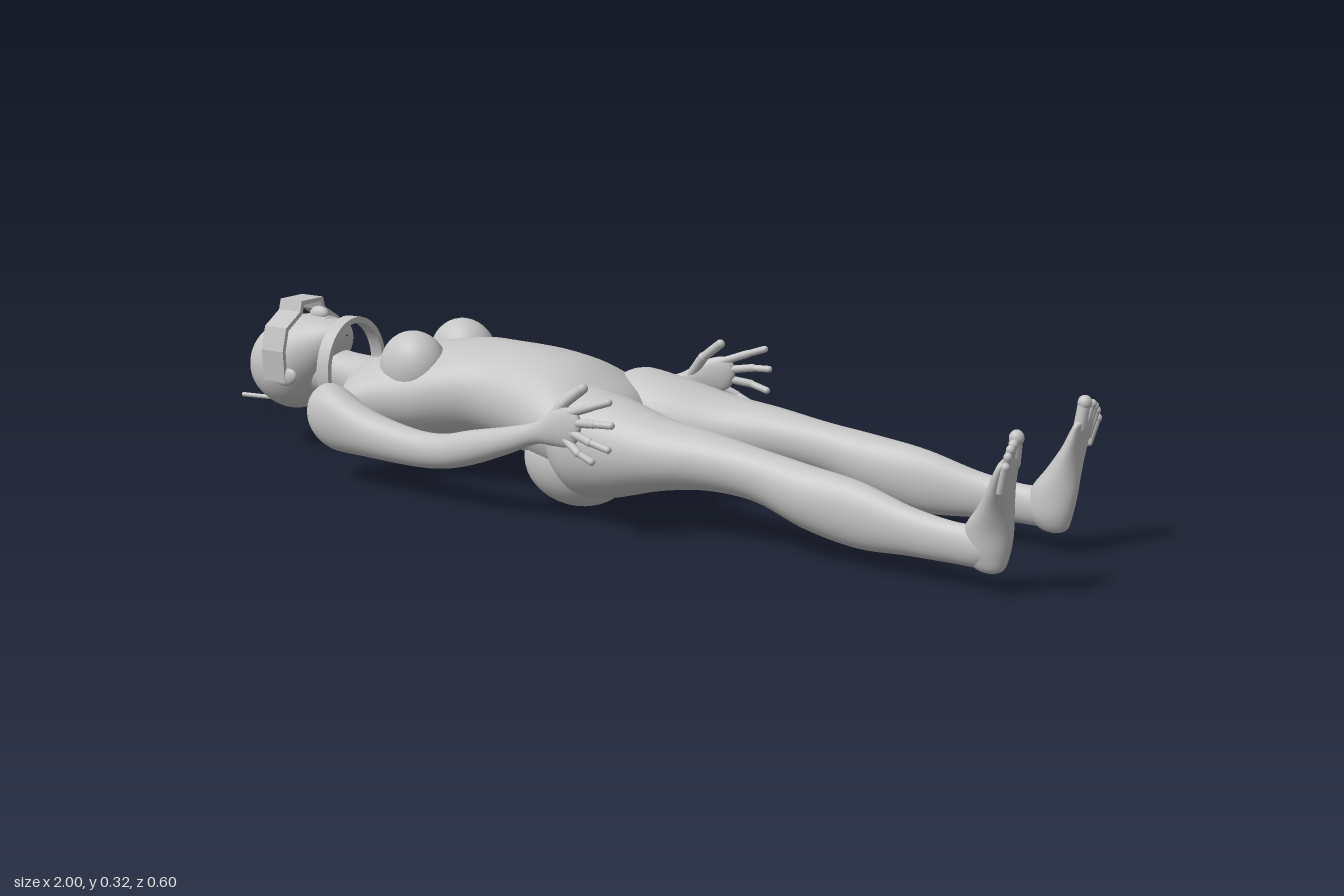
import * as THREE from 'three';

const clay = new THREE.MeshStandardMaterial({ color: 0xc4c4c4 });
clay.name = 'light grey';

// Smooth skin over elliptical sections [x, y, z, r1, r2], ordered along the axis.
// Axis 'x': r1 is along y, r2 along z. Axis 'y': r1 is along z, r2 along x.
function loft(sections, axis = 'x', side = 1, around = 36, steps = 6) {
  const pos = [], index = [];
  const n = sections.length, rows = (n - 1) * steps + 1;
  const at = (i) => sections[Math.min(Math.max(i, 0), n - 1)];
  for (let r = 0; r < rows; r++) {
    const i = Math.min(Math.floor(r / steps), n - 2), t = r / steps - i;
    const v = [0, 1, 2, 3, 4].map((k) => {
      const [a, b, c, d] = [at(i - 1)[k], at(i)[k], at(i + 1)[k], at(i + 2)[k]];
      return 0.5 * (2 * b + (c - a) * t + (2 * a - 5 * b + 4 * c - d) * t * t + (3 * b - a - 3 * c + d) * t ** 3);
    });
    const [x, y, z] = [v[0], v[1], v[2] * side];
    const r1 = Math.max(v[3], 0.001), r2 = Math.max(v[4], 0.001);
    for (let j = 0; j < around; j++) {
      const q = (j / around) * Math.PI * 2, c = Math.cos(q) * r1, s = Math.sin(q) * r2;
      if (axis === 'x') pos.push(x, y + c, z + s);
      else pos.push(x + s, y, z + c);
      if (r < rows - 1) {
        const a = r * around + j, b = r * around + ((j + 1) % around);
        index.push(a, b, a + around, b, b + around, a + around);
      }
    }
  }
  const g = new THREE.BufferGeometry();
  g.setAttribute('position', new THREE.Float32BufferAttribute(pos, 3));
  g.setIndex(index);
  g.computeVertexNormals();
  return g;
}

function add(parent, name, geometry) {
  const mesh = new THREE.Mesh(geometry, clay);
  mesh.name = name;
  parent.add(mesh);
  return mesh;
}

function ball(parent, name, p, r) {
  const mesh = add(parent, name, new THREE.SphereGeometry(1, 32, 20));
  mesh.position.set(...p);
  mesh.scale.set(...r);
  return mesh;
}

// Rounded rod between two points
function rod(parent, name, a, b, r) {
  const from = new THREE.Vector3(...a), to = new THREE.Vector3(...b);
  const dir = to.clone().sub(from);
  const mesh = add(parent, name, new THREE.CapsuleGeometry(r, dir.length(), 6, 12));
  mesh.position.copy(from).add(to).multiplyScalar(0.5);
  mesh.quaternion.setFromUnitVectors(new THREE.Vector3(0, 1, 0), dir.normalize());
}

// Flat outline in z and y, given thickness along x
function plate(parent, name, shape, x, depth) {
  const g = new THREE.ExtrudeGeometry(shape, { depth, bevelEnabled: false, curveSegments: 40 });
  g.rotateY(Math.PI / 2);
  add(parent, name, g).position.x = x;
}

function buildHead(model) {
  const head = new THREE.Group();
  head.name = 'head';
  model.add(head);
  add(head, 'skull', loft([
    [-0.792, 0.172, 0, 0.002, 0.002], [-0.783, 0.172, 0, 0.035, 0.033], [-0.755, 0.173, 0, 0.071, 0.066],
    [-0.70, 0.177, 0, 0.096, 0.088], [-0.65, 0.187, 0, 0.099, 0.087], [-0.61, 0.207, 0, 0.079, 0.07],
    [-0.57, 0.233, 0, 0.048, 0.046], [-0.553, 0.245, 0, 0.028, 0.028], [-0.546, 0.25, 0, 0.002, 0.002]]));
  ball(head, 'nose', [-0.618, 0.288, 0], [0.024, 0.017, 0.013]);
  ball(head, 'upperLip', [-0.592, 0.278, 0], [0.007, 0.009, 0.02]);
  ball(head, 'lowerLip', [-0.582, 0.276, 0], [0.007, 0.008, 0.017]);
  for (const s of [1, -1]) {
    ball(head, 'ear', [-0.64, 0.165, 0.085 * s], [0.028, 0.018, 0.008]).rotation.z = 0.3;
  }
  add(head, 'neck', loft([
    [-0.65, 0.17, 0, 0.05, 0.05], [-0.58, 0.168, 0, 0.052, 0.047], [-0.53, 0.165, 0, 0.05, 0.046],
    [-0.48, 0.158, 0, 0.054, 0.06], [-0.44, 0.15, 0, 0.06, 0.1]]));

  // Visor wrapped over the eyes
  const half = [[0.094, 0.155], [0.098, 0.22], [0.085, 0.268], [0.04, 0.296], [0.034, 0.318]];
  const inner = [[0.026, 0.309], [0.033, 0.29], [0.078, 0.262], [0.089, 0.22], [0.086, 0.155]];
  const mirror = (list) => list.map(([z, y]) => [-z, y]).reverse();
  const loop = [...half, ...mirror(half), ...mirror(inner), ...inner];
  plate(head, 'visor', new THREE.Shape(loop.map((p) => new THREE.Vector2(...p))), -0.695, 0.058);

  // Loose neck ring and its cable
  const ring = new THREE.Shape().absellipse(0, 0.185, 0.094, 0.106, 0, Math.PI * 2);
  ring.holes.push(new THREE.Path().absellipse(0, 0.185, 0.083, 0.094, 0, Math.PI * 2));
  plate(head, 'neckRing', ring, -0.55, 0.03);
  const path = new THREE.CatmullRomCurve3([
    [-0.54, 0.15, -0.09], [-0.555, 0.1, -0.115], [-0.575, 0.06, -0.155], [-0.62, 0.042, -0.188],
    [-0.70, 0.037, -0.205], [-0.80, 0.036, -0.202], [-1, 0.036, -0.17]].map((p) => new THREE.Vector3(...p)));
  add(head, 'cable', new THREE.TubeGeometry(path, 60, 0.005, 10));
}

function buildTorso(model) {
  const torso = new THREE.Group();
  torso.name = 'torso';
  model.add(torso);
  add(torso, 'trunk', loft([
    [-0.50, 0.155, 0, 0.04, 0.045], [-0.465, 0.15, 0, 0.06, 0.12], [-0.42, 0.15, 0, 0.082, 0.172],
    [-0.36, 0.16, 0, 0.097, 0.165], [-0.28, 0.168, 0, 0.102, 0.148], [-0.20, 0.183, 0, 0.1, 0.13],
    [-0.13, 0.185, 0, 0.099, 0.119], [-0.04, 0.175, 0, 0.105, 0.135], [0.04, 0.155, 0, 0.11, 0.158],
    [0.10, 0.14, 0, 0.098, 0.162], [0.15, 0.135, 0, 0.072, 0.125], [0.185, 0.14, 0, 0.02, 0.04]], 'x', 1, 48));
  for (const s of [1, -1]) {
    ball(torso, 'chest', [-0.305, 0.222, 0.082 * s], [0.075, 0.077, 0.058]);
    ball(torso, 'hip', [0.08, 0.088, 0.07 * s], [0.115, 0.088, 0.078]);
  }
}

function buildArm(model, s) {
  const arm = new THREE.Group();
  arm.name = s > 0 ? 'leftArm' : 'rightArm';
  model.add(arm);
  add(arm, 'armAndPalm', loft([
    [-0.487, 0.14, 0.18, 0.003, 0.003], [-0.465, 0.138, 0.186, 0.046, 0.038], [-0.42, 0.13, 0.19, 0.065, 0.046],
    [-0.33, 0.11, 0.197, 0.047, 0.038], [-0.22, 0.1, 0.205, 0.037, 0.031], [-0.14, 0.104, 0.212, 0.034, 0.029],
    [-0.06, 0.125, 0.225, 0.034, 0.028], [0.04, 0.157, 0.243, 0.026, 0.021], [0.11, 0.183, 0.255, 0.021, 0.014],
    [0.15, 0.198, 0.262, 0.032, 0.015], [0.19, 0.207, 0.271, 0.037, 0.012], [0.212, 0.212, 0.276, 0.028, 0.009],
    [0.222, 0.214, 0.278, 0.003, 0.003]], 'x', s));
  // Fingers and thumb: root, knuckle, tip
  const digits = [
    [[0.195, 0.234, 0.272], [0.245, 0.253, 0.283], [0.284, 0.267, 0.284]],
    [[0.205, 0.218, 0.275], [0.255, 0.225, 0.289], [0.292, 0.227, 0.288]],
    [[0.20, 0.2, 0.276], [0.25, 0.192, 0.292], [0.287, 0.183, 0.29]],
    [[0.185, 0.185, 0.273], [0.222, 0.167, 0.286], [0.25, 0.155, 0.286]],
    [[0.135, 0.205, 0.256], [0.165, 0.243, 0.248], [0.205, 0.275, 0.246]]];
  digits.forEach((joints, i) => {
    const p = joints.map(([x, y, z]) => [x, y, z * s]);
    const r = i === 4 ? 0.0105 : 0.0078;
    rod(arm, i === 4 ? 'thumb' : 'finger', p[0], p[1], r);
    rod(arm, i === 4 ? 'thumbTip' : 'fingerTip', p[1], p[2], r * 0.88);
  });
}

function buildLeg(model, s) {
  const leg = new THREE.Group();
  leg.name = s > 0 ? 'leftLeg' : 'rightLeg';
  model.add(leg);
  add(leg, 'thighAndCalf', loft([
    [0.02, 0.15, 0.085, 0.04, 0.04], [0.10, 0.14, 0.099, 0.1, 0.083], [0.18, 0.136, 0.103, 0.098, 0.09],
    [0.30, 0.14, 0.118, 0.067, 0.07], [0.40, 0.142, 0.122, 0.053, 0.052], [0.50, 0.132, 0.125, 0.048, 0.041],
    [0.60, 0.11, 0.132, 0.057, 0.043], [0.70, 0.094, 0.135, 0.059, 0.036], [0.80, 0.083, 0.142, 0.043, 0.027],
    [0.88, 0.078, 0.146, 0.036, 0.022], [0.94, 0.078, 0.146, 0.034, 0.024], [0.965, 0.078, 0.146, 0.01, 0.01]], 'x', s));
  add(leg, 'foot', loft([
    [0.948, 0.034, 0.144, 0.002, 0.002], [0.945, 0.043, 0.143, 0.018, 0.026], [0.94, 0.07, 0.142, 0.027, 0.04],
    [0.944, 0.11, 0.145, 0.029, 0.042], [0.957, 0.15, 0.153, 0.033, 0.03], [0.969, 0.19, 0.163, 0.04, 0.019],
    [0.977, 0.22, 0.169, 0.042, 0.014], [0.983, 0.24, 0.17, 0.036, 0.01], [0.985, 0.249, 0.171, 0.003, 0.003]], 'y', s));
  // Toes from big to little
  const toes = [[0.148, 0.154, 0.274, 0.0125], [0.171, 0.178, 0.268, 0.0078], [0.183, 0.19, 0.262, 0.0075],
    [0.193, 0.201, 0.252, 0.0072], [0.201, 0.209, 0.237, 0.007]];
  for (const [z0, z1, top, r] of toes) {
    rod(leg, 'toe', [0.982, top - 0.045, z0 * s], [0.9985 - r, top - 0.003, z1 * s], r * 0.9);
    ball(leg, 'toePad', [0.9995 - r, top, z1 * s], [r, r * 1.1, r]);
  }
}

export function createModel() {
  const model = new THREE.Group();
  model.name = 'recliningFigure';
  buildHead(model);
  buildTorso(model);
  for (const s of [1, -1]) {
    buildArm(model, s);
    buildLeg(model, s);
  }
  return model;
}
